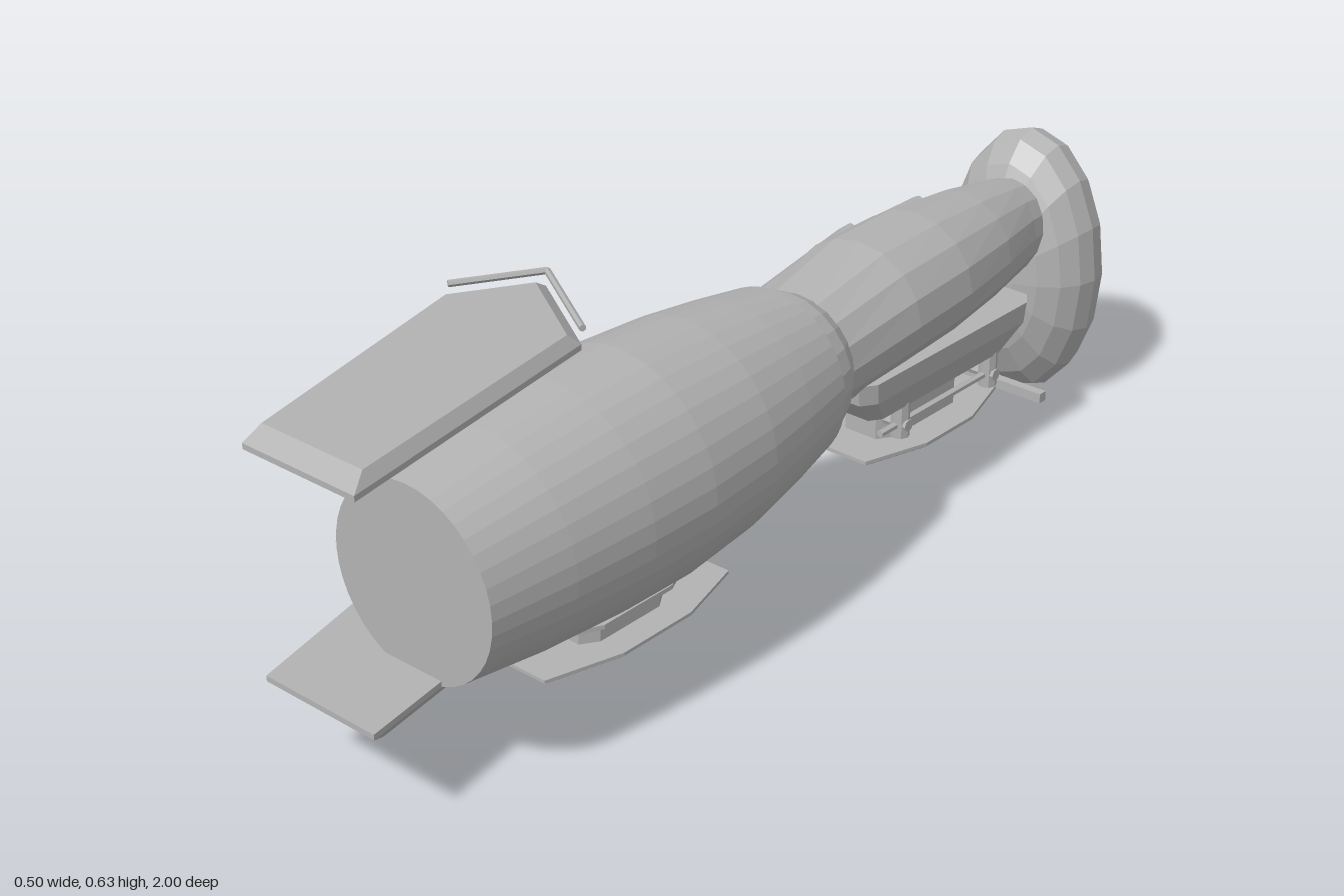
import * as THREE from 'three';
import { ConvexGeometry } from 'three/addons/geometries/ConvexGeometry.js';

const gray = new THREE.MeshStandardMaterial({ color: 0xb2b2b2 });
gray.name = 'plain gray';

export function createModel() {
  const model = new THREE.Group();
  const V = (x, y, z) => new THREE.Vector3(x, y, z);

  // Adds a faceted mesh
  function add(name, geometry) {
    const g = geometry.index ? geometry.toNonIndexed() : geometry;
    g.computeVertexNormals();
    const mesh = new THREE.Mesh(g, gray);
    mesh.name = name;
    model.add(mesh);
    return mesh;
  }

  // Closed hull through elliptical rings [z, cx, cy, rx, ry], z ascending
  function loft(name, rings, sides) {
    const pos = [], idx = [];
    for (const [z, cx, cy, rx, ry] of rings)
      for (let j = 0; j < sides; j++) {
        const a = (j / sides) * Math.PI * 2;
        pos.push(cx + rx * Math.cos(a), cy + ry * Math.sin(a), z);
      }
    const n = rings.length, first = n * sides;
    for (const r of [rings[0], rings[n - 1]]) pos.push(r[1], r[2], r[0]);
    for (let j = 0; j < sides; j++) {
      const k = (j + 1) % sides;
      for (let i = 0; i < n - 1; i++) {
        const a = i * sides + j, b = i * sides + k;
        idx.push(a, b, a + sides, b, b + sides, a + sides);
      }
      idx.push(first, k, j, first + 1, (n - 1) * sides + j, (n - 1) * sides + k);
    }
    const g = new THREE.BufferGeometry();
    g.setAttribute('position', new THREE.Float32BufferAttribute(pos, 3));
    g.setIndex(idx);
    return add(name, g);
  }

  // Plate from an [x, z] outline; levels are [y, inset scale]
  function plate(name, outline, levels) {
    const cx = outline.reduce((s, p) => s + p[0], 0) / outline.length;
    const cz = outline.reduce((s, p) => s + p[1], 0) / outline.length;
    const pts = [];
    for (const [y, s] of levels)
      for (const [x, z] of outline) pts.push(V(cx + (x - cx) * s, y, cz + (z - cz) * s));
    return add(name, new ConvexGeometry(pts));
  }

  // Straight rod between two points
  function rod(name, a, b, radius, sides = 8) {
    const d = b.clone().sub(a);
    const g = new THREE.CylinderGeometry(radius, radius, d.length(), sides);
    g.applyQuaternion(new THREE.Quaternion().setFromUnitVectors(V(0, 1, 0), d.normalize()));
    g.translate((a.x + b.x) / 2, (a.y + b.y) / 2, (a.z + b.z) / 2);
    return add(name, g);
  }

  function box(name, w, h, d, x, y, z) {
    return add(name, new THREE.BoxGeometry(w, h, d).translate(x, y, z));
  }

  // Stretched octagon used by the belly plates
  const octagon = (x0, x1, z0, z1, cx, cz) => [
    [x0 + cx, z0], [x1 - cx, z0], [x1, z0 + cz], [x1, z1 - cz],
    [x1 - cx, z1], [x0 + cx, z1], [x0, z1 - cz], [x0, z0 + cz],
  ];

  // Main barrel body
  const bodyRings = [
    [-0.01, 0.033, 0.375, 0.158, 0.158], [0.1, 0.035, 0.37, 0.179, 0.179],
    [0.22, 0.038, 0.366, 0.197, 0.197], [0.38, 0.04, 0.363, 0.208, 0.208],
    [0.52, 0.042, 0.361, 0.204, 0.204], [0.68, 0.044, 0.358, 0.191, 0.191],
    [0.84, 0.047, 0.355, 0.169, 0.169],
  ];
  loft('body', bodyRings, 40);

  // Neck collar and tapered rear section
  loft('collar', [
    [-0.1, 0.02, 0.376, 0.118, 0.113], [-0.06, 0.027, 0.374, 0.14, 0.134],
    [0.0, 0.033, 0.37, 0.152, 0.15],
  ], 24);
  loft('rearSection', [
    [-0.82, -0.03, 0.38, 0.075, 0.09], [-0.76, -0.028, 0.386, 0.085, 0.097],
    [-0.62, -0.016, 0.395, 0.113, 0.112], [-0.45, -0.004, 0.402, 0.136, 0.122],
    [-0.28, 0.003, 0.4, 0.142, 0.124], [-0.08, 0.02, 0.378, 0.118, 0.117],
  ], 16);

  // Tall rounded tail pod
  add('tailPod', new THREE.SphereGeometry(1, 16, 10).rotateX(Math.PI / 2)
    .scale(0.165, 0.276, 0.122).translate(-0.045, 0.276, -0.878));

  // Upper and lower five-sided wings with edge rails
  const wing = [[-0.25, 0.47], [-0.165, 0.33], [0.03, 0.45], [0.125, 1], [-0.115, 1]];
  for (const [side, y, dir] of [['upper', 0.59, 1], ['lower', 0.203, -1]]) {
    plate(side + 'Wing', wing, [[y, 1], [y + dir * 0.01, 1], [y + dir * 0.03, 0.9]]);
    const p = wing.slice(0, 3).map(([x, z]) => V(x, y + dir * 0.036, z - 0.004));
    rod(side + 'WingRail', p[0], p[1], 0.006, 6);
    rod(side + 'WingRail', p[1], p[2], 0.006, 6);
  }

  // Slim tube and twin rails on the right flank
  rod('flankTube', V(-0.138, 0.45, 0.17), V(-0.205, 0.49, 0.65), 0.013, 10);
  for (const angle of [3.12, 3.2]) {
    const path = bodyRings.map(([z, cx, cy, r]) =>
      V(cx + (r + 0.001) * Math.cos(angle), cy + (r + 0.001) * Math.sin(angle), z));
    add('flankRail', new THREE.TubeGeometry(new THREE.CatmullRomCurve3(path), 16, 0.004, 5));
  }

  // Side barrel on the rear section
  rod('sideBarrelHousing', V(-0.135, 0.38, -0.13), V(-0.183, 0.402, -0.5), 0.035, 6);
  rod('sideBarrel', V(-0.185, 0.41, -0.45), V(-0.185, 0.41, -0.71), 0.015, 8);

  // Stepped belly pack under the main body
  plate('bellyMount', octagon(-0.1, 0.13, 0.28, 0.7, 0.03, 0.06),
    [[0.215, 1], [0.165, 0.8]]);
  plate('bellyStep', octagon(-0.1, 0.13, 0.3, 0.58, 0.03, 0.06),
    [[0.163, 1], [0.155, 1], [0.142, 0.82]]);
  plate('bellyCore', octagon(-0.02, 0.1, 0.33, 0.53, 0.02, 0.03), [[0.15, 1], [0.1, 1]]);
  plate('bellyPlate', octagon(-0.075, 0.152, 0.2, 0.64, 0.04, 0.14),
    [[0.11, 1], [0.104, 1], [0.092, 0.88]]);

  // Stepped pack under the rear section
  plate('rearMount', octagon(-0.1, 0.13, -0.66, -0.15, 0.02, 0.03),
    [[0.32, 1], [0.28, 0.98], [0.225, 0.78]]);
  for (const z of [-0.57, -0.3]) {
    for (const x of [-0.06, 0.09]) rod('rearPost', V(x, 0.16, z), V(x, 0.235, z), 0.018, 8);
    rod('rearCrossbar', V(-0.08, 0.185, z), V(0.11, 0.185, z), 0.012, 8);
  }
  for (const x of [-0.06, 0.09]) rod('rearRunner', V(x, 0.185, -0.56), V(x, 0.185, -0.24), 0.007, 6);
  plate('rearCore', octagon(-0.04, 0.07, -0.52, -0.28, 0.02, 0.03), [[0.23, 1], [0.135, 1]]);
  plate('rearPlate', octagon(-0.1, 0.13, -0.6, -0.2, 0.04, 0.13),
    [[0.145, 1], [0.138, 1], [0.127, 0.88]]);

  // Framed hatch on the underside of each pack
  for (const [name, cx, cz, y] of [['belly', 0.04, 0.41, 0.086], ['rear', 0.015, -0.4, 0.121]]) {
    plate(name + 'Hatch', octagon(cx - 0.045, cx + 0.045, cz - 0.09, cz + 0.09, 0.01, 0.02),
      [[y + 0.01, 1], [y - 0.003, 0.9]]);
    for (const s of [-1, 1]) {
      box(name + 'HatchSide', 0.006, 0.008, 0.15, cx + s * 0.032, y - 0.005, cz);
      box(name + 'HatchBar', 0.064, 0.008, 0.006, cx, y - 0.005, cz + s * 0.072);
    }
    box(name + 'HatchBar', 0.064, 0.008, 0.006, cx, y - 0.005, cz);
  }

  // Small hook ring below the collar
  add('collarRing', new THREE.TorusGeometry(0.04, 0.007, 6, 16)
    .rotateX(Math.PI / 2).translate(0.03, 0.232, -0.05));

  // Crossbars in front of the tail pod
  box('tailBar', 0.21, 0.02, 0.02, -0.045, 0.028, -0.81);
  box('tailStub', 0.05, 0.02, 0.02, -0.125, 0.082, -0.81);
  rod('tailPin', V(-0.145, 0.13, -0.83), V(-0.145, 0.13, -0.79), 0.008, 6);

  return model;
}
